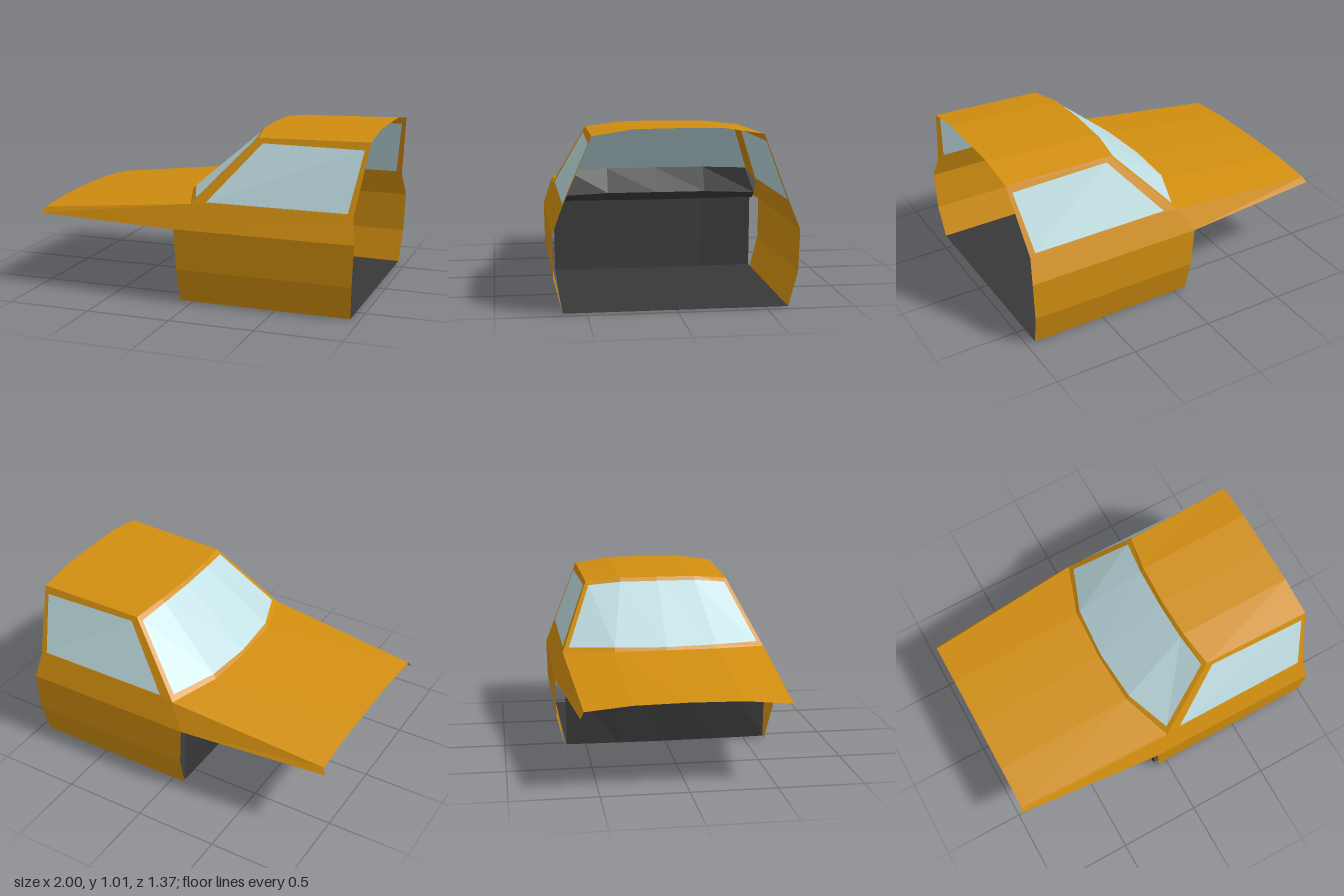
import * as THREE from 'three';

const material = (color) =>
  new THREE.MeshStandardMaterial({ color, side: THREE.DoubleSide, flatShading: true });

// Skin a list of point rows with flat quads
function loft(rows) {
  const pos = [];
  for (let r = 0; r + 1 < rows.length; r++) {
    const a = rows[r], b = rows[r + 1];
    for (let i = 0; i + 1 < a.length; i++) {
      pos.push(...a[i], ...b[i], ...b[i + 1], ...a[i], ...b[i + 1], ...a[i + 1]);
    }
  }
  const geo = new THREE.BufferGeometry();
  geo.setAttribute('position', new THREE.Float32BufferAttribute(pos, 3));
  geo.computeVertexNormals();
  return geo;
}

const flip = ([x, y, z]) => [x, y, -z];

// Complete a half row (side to centre line) to the full width
const full = (half) => {
  const other = half.map(flip).reverse();
  return half[half.length - 1][2] === 0 ? [...half, ...other.slice(1)] : [...half, ...other];
};

export function createModel() {
  const model = new THREE.Group();
  model.name = 'vehicleCab';
  const paint = material(0xd18e10);
  const glass = material(0xbfdde1);
  const dark = material(0x383838);

  const add = (name, rows, mat) => {
    const mesh = new THREE.Mesh(loft(rows), mat);
    mesh.name = name;
    model.add(mesh);
  };
  const across = (name, halves, mat) => add(name, halves.map(full), mat);
  const bothSides = (name, rows, mat) => {
    add(name + 'Left', rows, mat);
    add(name + 'Right', rows.map((row) => row.map(flip)).reverse(), mat);
  };

  // Shared section lines, side to centre
  const nose = [[-0.98, 0.48, 0.58], [-0.98, 0.505, 0.31], [-0.98, 0.51, 0]];
  const cowl = [[-0.01, 0.585, 0.63], [-0.12, 0.603, 0.32], [-0.135, 0.605, 0]];
  const glassLow = [[0.005, 0.612, 0.59], [-0.1, 0.625, 0.315], [-0.122, 0.622, 0]];
  const glassTop = [[0.31, 0.942, 0.44], [0.285, 0.963, 0.24], [0.278, 0.965, 0]];
  const header = [[0.34, 0.963, 0.455], [0.305, 0.986, 0.24], [0.295, 0.988, 0]];
  const roofRear = [[1, 0.978, 0.47], [1, 1.013, 0.24], [1, 1.015, 0]];

  // Hood with turned-down side lips
  across('hood', [nose, cowl], paint);
  bothSides('hoodLip', [
    [[-1, 0.445, 0.6], nose[0]],
    [[-0.1, 0.44, 0.685], cowl[0]],
  ], paint);

  // Roof
  across('roof', [header, roofRear], paint);

  // Windshield and its frame
  across('windshieldSill', [cowl, glassLow], paint);
  across('windshield', [glassLow, glassTop], glass);
  across('windshieldHeader', [glassTop, header], paint);
  bothSides('windshieldPillar', [[cowl[0], glassLow[0]], [header[0], glassTop[0]]], paint);

  // Faceted lower sides
  const beltRear = [0.95, 0.585, 0.63];
  bothSides('sidePanel', [
    [[-0.08, 0, 0.63], [-0.085, 0.2, 0.68], [-0.1, 0.44, 0.685], cowl[0]],
    [[0.945, 0, 0.63], [0.96, 0.2, 0.68], [0.97, 0.44, 0.685], beltRear],
  ], paint);

  // Side windows set in a four-sided frame
  const outer = [cowl[0], beltRear, roofRear[0], header[0]];
  const inner = [[0.08, 0.6, 0.624], [0.915, 0.6, 0.624], [0.97, 0.935, 0.487], [0.37, 0.935, 0.469]];
  const closed = (loop) => [...loop, loop[0]];
  bothSides('windowFrame', [closed(inner), closed(outer)], paint);
  bothSides('sideWindow', [[inner[0], inner[3]], [inner[1], inner[2]]], glass);

  // Floor and bowed firewall
  const fireLow = [[-0.08, 0.015, 0.62], [-0.08, 0.012, 0.3], [-0.08, 0.01, 0]];
  const fireTop = [[-0.09, 0.47, 0.625], [-0.125, 0.47, 0.32], [-0.135, 0.47, 0]];
  across('floor', [[[0.945, 0, 0.63], [0.945, 0, 0.3], [0.945, 0, 0]], fireLow], dark);
  across('firewall', [fireLow, fireTop], dark);

  // Dashboard, each row starting at a shared end-cap point
  const cap = [0.1, 0.58, 0.625];
  across('dashboard', [
    [cap, [0, 0.585, 0.61], [-0.1, 0.59, 0.32], [-0.11, 0.59, 0]],
    [cap, [0.11, 0.67, 0.55], [0.04, 0.67, 0.3], [0.03, 0.67, 0]],
    [cap, [0.15, 0.52, 0.6], [0.1, 0.525, 0.3], [0.1, 0.525, 0]],
    [cap, [0.1, 0.483, 0.6], [0.06, 0.475, 0.3], [0.06, 0.472, 0]],
    [cap, ...fireTop],
  ], dark);

  return model;
}
